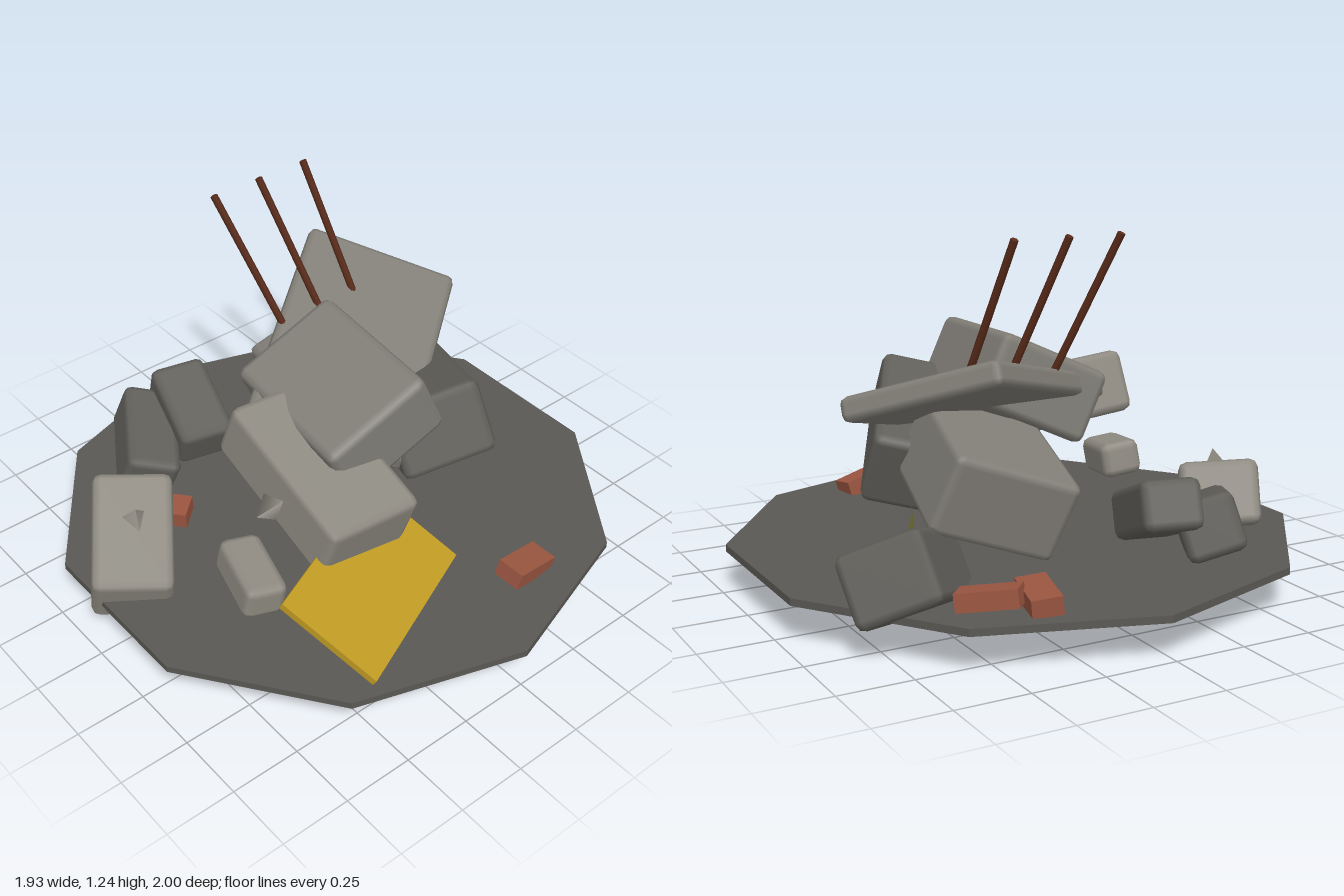
import * as THREE from 'three';
import { RoundedBoxGeometry } from 'three/addons/geometries/RoundedBoxGeometry.js';

const paint = (color, extra = {}) => new THREE.MeshStandardMaterial({ color, ...extra });
const lightStone = paint(0x8f8b82);
const midStone = paint(0x827f78);
const darkStone = paint(0x615f5a);
const soil = paint(0x5a5854, { flatShading: true });
const yellow = paint(0xc09a22);
const brick = paint(0x9a5540);
const rust = paint(0x5a2c1a);
const grass = paint(0x6b6a25);

// Turn a mesh so its x axis follows u and its y axis follows v as closely as possible
function orient(mesh, u, v) {
  const x = new THREE.Vector3(...u).normalize();
  const z = new THREE.Vector3().crossVectors(x, new THREE.Vector3(...v)).normalize();
  const y = new THREE.Vector3().crossVectors(z, x);
  mesh.quaternion.setFromRotationMatrix(new THREE.Matrix4().makeBasis(x, y, z));
}

export function createModel() {
  const model = new THREE.Group();

  function add(name, geometry, material, position) {
    const mesh = new THREE.Mesh(geometry, material);
    mesh.name = name;
    mesh.position.set(...position);
    model.add(mesh);
    return mesh;
  }

  // Ten-sided ground disc
  add('ground', new THREE.CylinderGeometry(1, 1, 0.025, 10), soil, [0.015, 0.118, 0]);

  // Bevelled concrete chunks: name, material, centre, size along u, v and u x v, direction u, direction v
  const chunks = [
    ['tiltedSlab', midStone, [0.215, 0.65, -0.125], [0.88, 0.57, 0.085], [0.8, 0.236, -0.59], [0.34, -0.168, 0.42]],
    ['topChunk', midStone, [-0.025, 0.655, 0.085], [0.42, 0.26, 0.57], [0.9, 0.42, 0.09], [-0.42, 0.9, 0]],
    ['frontLeftChunk', lightStone, [-0.25, 0.53, 0.24], [0.37, 0.22, 0.6], [0.98, -0.1, 0], [0.1, 0.94, 0.3]],
    ['frontRightChunk', darkStone, [0.305, 0.48, 0.15], [0.56, 0.27, 0.34], [0.24, -0.19, -0.45], [0, -0.22, 0.13]],
    ['backChunk', midStone, [0.28, 0.425, -0.3], [0.44, 0.28, 0.5], [0.9, 0.32, 0.12], [-0.3, 0.86, -0.25]],
    ['rightBoulder', darkStone, [0.63, 0.185, -0.44], [0.46, 0.29, 0.24], [0.28, 0.12, -0.33], [0.21, -0.11, 0.15]],
    ['leftBoulder', lightStone, [-0.73, 0.19, -0.19], [0.45, 0.28, 0.23], [0.23, 0.15, -0.33], [0.22, -0.02, 0.14]],
    ['smallLeftChunk', lightStone, [-0.555, 0.27, 0.265], [0.15, 0.13, 0.27], [0.95, -0.15, 0.22], [0.15, 0.97, 0.15]],
    ['backLeftChunkA', darkStone, [-0.41, 0.24, -0.57], [0.38, 0.2, 0.2], [0.2, 0.08, -0.32], [0.17, -0.06, 0.08]],
    ['backLeftChunkB', darkStone, [-0.22, 0.31, -0.55], [0.34, 0.21, 0.17], [0.07, 0.12, -0.3], [0.21, 0, 0.05]],
  ];
  for (const [name, material, position, size, u, v] of chunks) {
    const bevel = Math.min(0.03, Math.min(...size) * 0.3);
    orient(add(name, new RoundedBoxGeometry(...size, 1, bevel), material, position), u, v);
  }

  // Yellow board leaning under the front chunk
  orient(add('yellowBoard', new THREE.BoxGeometry(0.636, 0.378, 0.025), yellow, [-0.305, 0.335, 0.585]),
    [0.58, 0, -0.26], [0.13, -0.19, 0.3]);

  // Loose bricks: centre, long direction, up direction
  const bricks = [
    [[0.265, 0.168, 0.735], [0.2, -0.05, -0.03], [0.2, 1, 0.1]],
    [[0.33, 0.165, -0.74], [-0.05, 0.01, 0.2], [0.1, 1, 0]],
    [[0.475, 0.17, -0.695], [0.16, -0.03, 0.13], [0, 1, 0.1]],
    [[-0.53, 0.165, -0.3], [0.12, 0, 0.14], [0, 1, 0.1]],
  ];
  bricks.forEach(([position, u, v], i) =>
    orient(add(`brick${i + 1}`, new THREE.BoxGeometry(0.2, 0.06, 0.1), brick, position), u, v));

  // Bent-over reinforcing rods rising from the slab
  const rods = [[-0.11, 0.015], [0.08, 0.18], [0.275, 0.338]];
  rods.forEach(([topX, baseX], i) => {
    const top = new THREE.Vector3(topX, 1.215, -0.485);
    const base = new THREE.Vector3(baseX, 0.74, -0.275);
    const axis = top.clone().sub(base);
    const centre = base.clone().addScaledVector(axis, 0.5);
    const rod = add(`rod${i + 1}`, new THREE.CylinderGeometry(0.013, 0.013, axis.length(), 6), rust, centre.toArray());
    rod.quaternion.setFromUnitVectors(new THREE.Vector3(0, 1, 0), axis.normalize());
  });

  // Pointed stone chips and a grass spike
  const chip = new THREE.ConeGeometry(0.075, 0.1, 3);
  orient(add('sideChip', chip, lightStone, [-0.465, 0.5, 0.25]), [0, 0.3, 1], [-1, -0.1, 0]);
  orient(add('boulderChip', chip, lightStone, [-0.72, 0.32, -0.17]), [1, 0, 0.3], [0, 1, 0.3]);
  add('grassSpike', new THREE.ConeGeometry(0.014, 0.14, 5), grass, [0.62, 0.345, -0.46]);

  return model;
}
